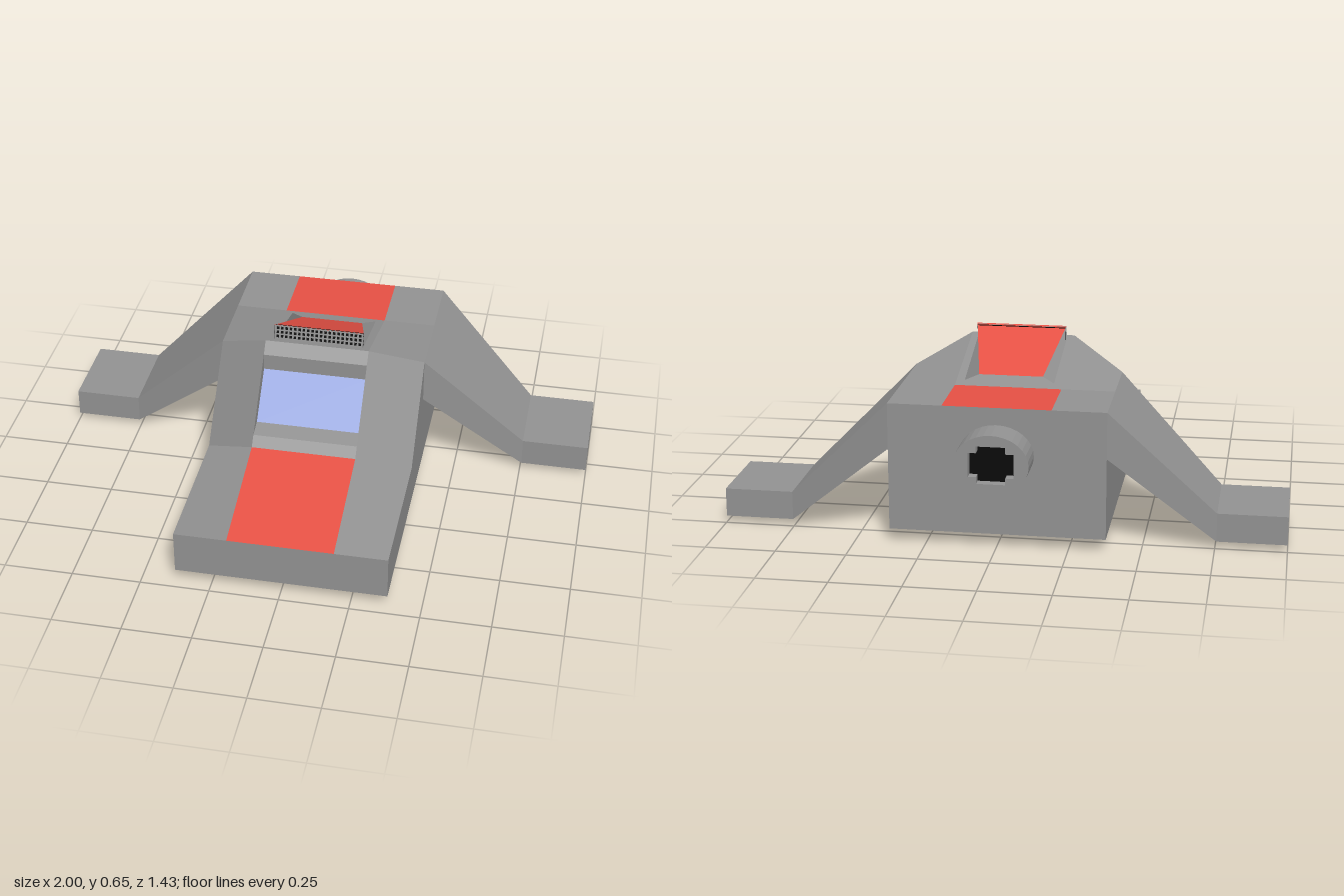
import * as THREE from 'three';

const mat = (color, side = THREE.FrontSide) => new THREE.MeshStandardMaterial({ color, side });
const grey = mat(0x929292), red = mat(0xe55044), blue = mat(0x94a4dd), dark = mat(0x080808);
const greyThin = mat(0x929292, THREE.DoubleSide), redThin = mat(0xe55044, THREE.DoubleSide);

const flip = ([x, y, z]) => [-x, y, z];
// mirrored face keeps its first corner so that it is fanned the same way
const mirrorFace = ([first, ...rest]) => [first, ...rest.reverse()].map(flip);
const both = (faces) => [...faces, ...faces.map(mirrorFace)];
// panel spanning the centre line between two points of the left half
const across = (p, q) => [flip(p), p, q, flip(q)];

// polygons fanned from their first corner, each with one flat normal
function panels(name, faces, material) {
  const pos = [], nor = [];
  const v = (p) => new THREE.Vector3(...p);
  for (const f of faces) {
    const n = new THREE.Vector3();
    f.forEach((p, i) => n.add(v(p).cross(v(f[(i + 1) % f.length]))));
    n.normalize();
    for (let i = 1; i < f.length - 1; i++) {
      pos.push(...f[0], ...f[i], ...f[i + 1]);
      for (let k = 0; k < 3; k++) nor.push(n.x, n.y, n.z);
    }
  }
  const g = new THREE.BufferGeometry();
  g.setAttribute('position', new THREE.Float32BufferAttribute(pos, 3));
  g.setAttribute('normal', new THREE.Float32BufferAttribute(nor, 3));
  const m = new THREE.Mesh(g, material);
  m.name = name;
  return m;
}

function hull() {
  const g = new THREE.Group();
  g.name = 'hull';
  // inner corners (lower case) and outer corners (upper case), nose to tail
  const a = [0.19, 0.207, 0.713], A = [0.38, 0.207, 0.713];
  const b = [0.19, 0.308, 0.295], B = [0.38, 0.207, 0.18];
  const c = [0.19, 0.603, 0.035], C = [0.38, 0.503, -0.08];
  const d = [0.19, 0.503, -0.335], D = [0.38, 0.503, -0.335];
  const e = [0.19, 0.503, -0.592], E = [0.38, 0.503, -0.592];
  // underside corners, tail to nose
  const f = [0.19, 0.046, -0.592], F = [0.38, 0.046, -0.592];
  const h = [0.19, 0, -0.33], H = [0.38, 0.046, -0.33];
  const k = [0.19, 0, 0.18], K = [0.38, 0.046, 0.18];
  const l = [0.19, 0.046, 0.713], L = [0.38, 0.046, 0.713];
  // windscreen recess corners
  const w1 = [0.19, 0.342, 0.265], w2 = [0.19, 0.358, 0.205];
  const w3 = [0.19, 0.502, 0.07], w4 = [0.19, 0.563, 0.07];

  g.add(panels('hullShoulders', both([[b, a, A, B], [b, B, C, c], [c, C, D, d], [d, D, E, e]]), grey));
  g.add(panels('hullSides', both([[B, A, L, F, E, C]]), grey));
  g.add(panels('hullEnds', [across(L, A), [F, flip(F), flip(E), E]], grey));
  g.add(panels('underside', [
    ...both([[k, K, L, l], [h, H, K, k], [h, f, F, H]]),
    across(f, h), across(h, k), across(k, l),
  ], grey));
  g.add(panels('windscreenFrame', [
    across(b, w1), across(w1, w2), across(w3, w4), across(w4, c), ...both([[w2, w1, w4, w3]]),
  ], grey));
  g.add(panels('windscreen', [across(w2, w3)], blue));
  g.add(panels('roof', [across(c, d)], grey));
  g.add(panels('hoodStripe', [across(a, b)], red));
  g.add(panels('rearStripe', [across(d, e)], red));
  return g;
}

// drooping wing lofted through three box sections: x, bottom, top, back, front
function wing(side) {
  const sections = [
    [0.38, 0.338, 0.503, -0.592, -0.08],
    [0.755, 0.023, 0.126, -0.491, -0.18],
    [1, 0.023, 0.126, -0.491, -0.18],
  ].map(([x, y0, y1, z0, z1]) => [[x, y0, z1], [x, y0, z0], [x, y1, z0], [x, y1, z1]]);
  const faces = [sections[2], [...sections[0]].reverse()];
  for (let s = 0; s < 2; s++)
    for (let i = 0; i < 4; i++) {
      const j = (i + 1) % 4;
      faces.push([sections[s][i], sections[s][j], sections[s + 1][j], sections[s + 1][i]]);
    }
  return panels(side > 0 ? 'leftWing' : 'rightWing', side > 0 ? faces : faces.map(mirrorFace), grey);
}

function scoop() {
  const g = new THREE.Group();
  g.name = 'roofScoop';
  const t = [0.165, 0.648, -0.005], s = [0.165, 0.597, 0.01];
  const r = [0.16, 0.514, -0.305], q = [0.115, 0.526, -0.265];
  g.add(panels('scoopTop', [across(t, q)], redThin));
  g.add(panels('scoopSides', both([[s, r, q, t]]), greyThin));
  // grille bars over a dark backing, leaning back in the opening
  const grille = new THREE.Group();
  grille.name = 'scoopGrille';
  const bar = (name, w, h, x, y, z, material) => {
    const m = new THREE.Mesh(new THREE.BoxGeometry(w, h, 0.006), material);
    m.position.set(x, y, z);
    m.name = name;
    grille.add(m);
  };
  bar('grilleBacking', 0.326, 0.05, 0, 0, -0.008, dark);
  for (let i = 0; i <= 20; i++) bar('grilleBar', 0.006, 0.052, -0.16 + i * 0.016, 0, 0, grey);
  for (let i = 0; i < 4; i++) bar('grilleRail', 0.326, 0.004, 0, -0.024 + i * 0.016, 0, grey);
  grille.position.set(0, 0.621, -0.002);
  grille.rotation.x = -0.25;
  g.add(grille);
  return g;
}

function exhaust() {
  const g = new THREE.Group();
  g.name = 'exhaust';
  const shape = new THREE.Shape();
  shape.absellipse(0, 0, 0.13, 0.106, 0, Math.PI * 2);
  // stepped cross-shaped opening
  const o = 0.078, n = 0.05;
  shape.holes.push(new THREE.Path([[o, n], [n, n], [n, o], [-n, o], [-n, n], [-o, n],
    [-o, -n], [-n, -n], [-n, -o], [n, -o], [n, -n], [o, -n]].map(([x, y]) => new THREE.Vector2(x, y * 0.85))));
  const ring = new THREE.Mesh(
    new THREE.ExtrudeGeometry(shape, { depth: 0.124, bevelEnabled: false, curveSegments: 16 }), grey);
  ring.name = 'exhaustRing';
  ring.position.set(0, 0.336, -0.714);
  const core = new THREE.Mesh(new THREE.BoxGeometry(0.16, 0.135, 0.01), dark);
  core.name = 'exhaustCore';
  core.position.set(0, 0.336, -0.675);
  g.add(ring, core);
  return g;
}

export function createModel() {
  const model = new THREE.Group();
  model.name = 'hoverCraft';
  model.add(hull(), wing(1), wing(-1), scoop(), exhaust());
  return model;
}
